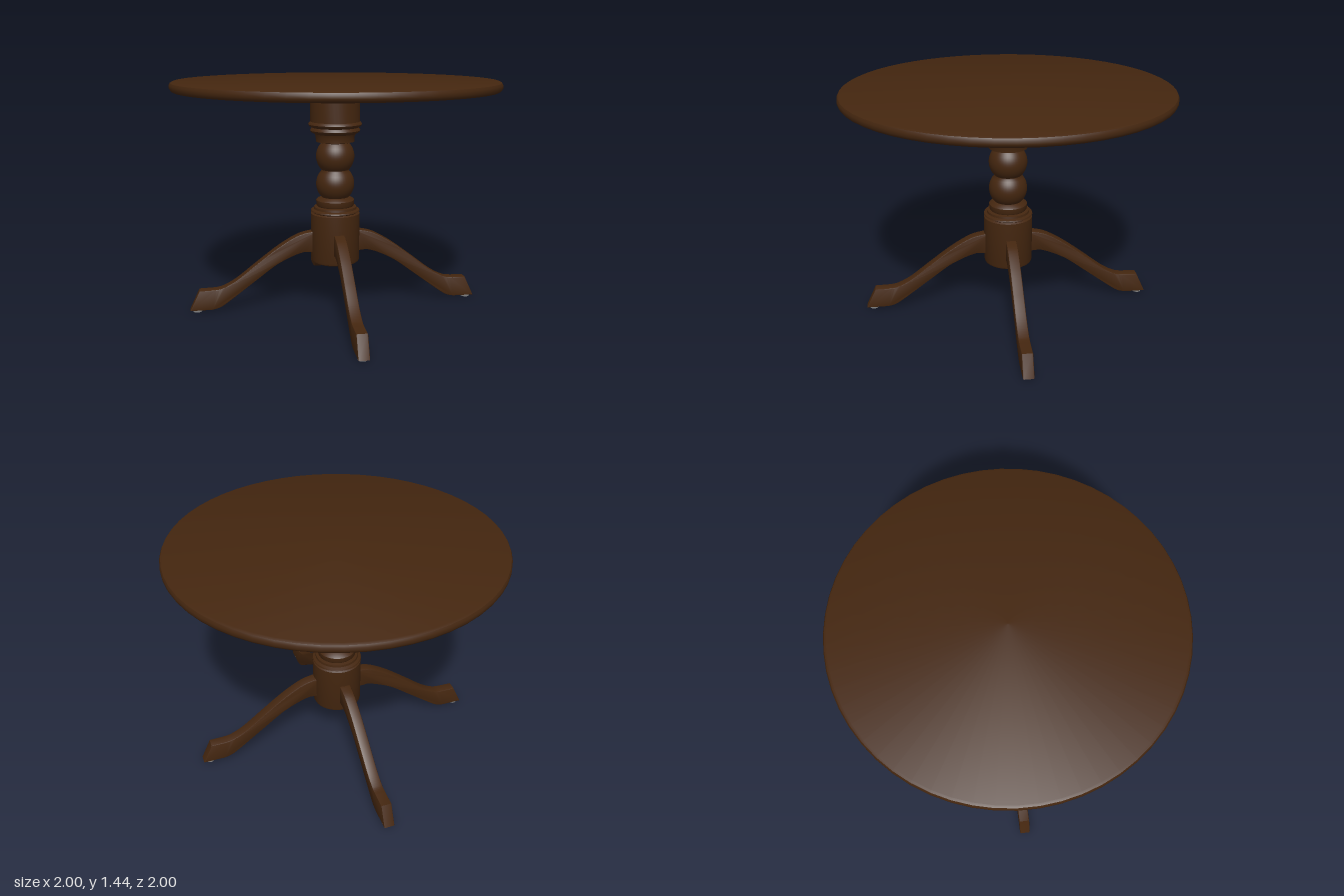
import * as THREE from 'three';
import { toCreasedNormals } from 'three/addons/utils/BufferGeometryUtils.js';

const wood = new THREE.MeshStandardMaterial({ color: 0x44260f });
wood.name = 'dark wood';
const metal = new THREE.MeshStandardMaterial({ color: 0x808080 });
metal.name = 'grey metal';

const LEG_ANGLE = 0.64;

function addMesh(parent, name, geometry, material) {
  const mesh = new THREE.Mesh(geometry, material);
  mesh.name = name;
  parent.add(mesh);
  return mesh;
}

// Turned part from [radius, height] pairs, listed from bottom to top
function turned(profile, segments) {
  const points = profile.map(([r, y]) => new THREE.Vector2(r, y));
  return toCreasedNormals(new THREE.LatheGeometry(points, segments), 0.6);
}

// Outline of one bead between two heights
function bead(y0, y1, radius) {
  const mid = (y0 + y1) / 2, points = [];
  for (let i = 0; i <= 12; i++) {
    const y = y0 + (y1 - y0) * i / 12;
    points.push([Math.sqrt(radius * radius - (y - mid) ** 2), y]);
  }
  return points;
}

// Side outline of a leg: x runs outward from the column
function legGeometry() {
  const v = (x, y) => new THREE.Vector2(x, y);
  const shape = new THREE.Shape();
  shape.moveTo(0.12, 0.355);
  shape.lineTo(0.12, 0.493);
  shape.splineThru([v(0.17, 0.49), v(0.25, 0.467), v(0.365, 0.40), v(0.50, 0.30),
    v(0.63, 0.20), v(0.72, 0.152), v(0.78, 0.142)]);
  shape.lineTo(0.865, 0.14);
  shape.lineTo(0.925, 0.012);
  shape.lineTo(0.79, 0.012);
  shape.splineThru([v(0.74, 0.025), v(0.68, 0.063), v(0.51, 0.19), v(0.38, 0.285),
    v(0.27, 0.34), v(0.20, 0.362)]);
  shape.closePath();
  const geometry = new THREE.ExtrudeGeometry(shape, {
    depth: 0.054, curveSegments: 28, bevelEnabled: true,
    bevelThickness: 0.006, bevelSize: 0.006, bevelOffset: -0.006, bevelSegments: 2,
  });
  geometry.translate(0, 0, -0.027);
  return toCreasedNormals(geometry, 0.6);
}

export function createModel() {
  const model = new THREE.Group();
  model.name = 'pedestalTable';

  // Round top with a softened edge
  addMesh(model, 'tableTop', turned([
    [0, 1.38], [0.982, 1.38], [0.993, 1.387], [1, 1.4], [1, 1.418],
    [0.993, 1.431], [0.98, 1.437], [0, 1.437],
  ], 56), wood);

  const base = new THREE.Group();
  base.name = 'base';
  base.position.set(-0.005, 0, 0.002);
  model.add(base);

  // Mounting plate under the top
  const plate = addMesh(base, 'mountingPlate', new THREE.CylinderGeometry(0.31, 0.31, 0.036, 48), wood);
  plate.position.y = 1.364;

  // Turned column
  addMesh(base, 'column', turned([
    [0, 0.29], [0.14, 0.29], [0.15, 0.297], [0.154, 0.31], [0.154, 0.605],
    [0.142, 0.612], [0.155, 0.62], [0.152, 0.628], [0.135, 0.634], [0.133, 0.648],
    [0.114, 0.652], [0.119, 0.66], [0.12, 0.69], [0.112, 0.698],
    ...bead(0.71, 0.877, 0.12), ...bead(0.883, 1.052, 0.12),
    [0.12, 1.06], [0.121, 1.09], [0.128, 1.108], [0.15, 1.12], [0.156, 1.13],
    [0.15, 1.142], [0.145, 1.148], [0.16, 1.156], [0.167, 1.168], [0.16, 1.18],
    [0.154, 1.184], [0.154, 1.35], [0, 1.35],
  ], 40), wood);

  // Four legs, each with its glide and the plate bolt above it
  const legShape = legGeometry();
  const glideShape = new THREE.CylinderGeometry(0.028, 0.028, 0.014, 20);
  const washerShape = new THREE.CylinderGeometry(0.028, 0.028, 0.006, 20);
  const boltShape = new THREE.CylinderGeometry(0.017, 0.014, 0.02, 6);
  for (let i = 0; i < 4; i++) {
    const arm = new THREE.Group();
    arm.name = 'legAssembly';
    arm.rotation.y = LEG_ANGLE + i * Math.PI / 2;
    base.add(arm);
    addMesh(arm, 'leg', legShape, wood);
    addMesh(arm, 'glide', glideShape, metal).position.set(0.88, 0.007, 0);
    addMesh(arm, 'washer', washerShape, metal).position.set(0.235, 1.343, 0);
    addMesh(arm, 'bolt', boltShape, metal).position.set(0.235, 1.332, 0);
  }
  return model;
}
